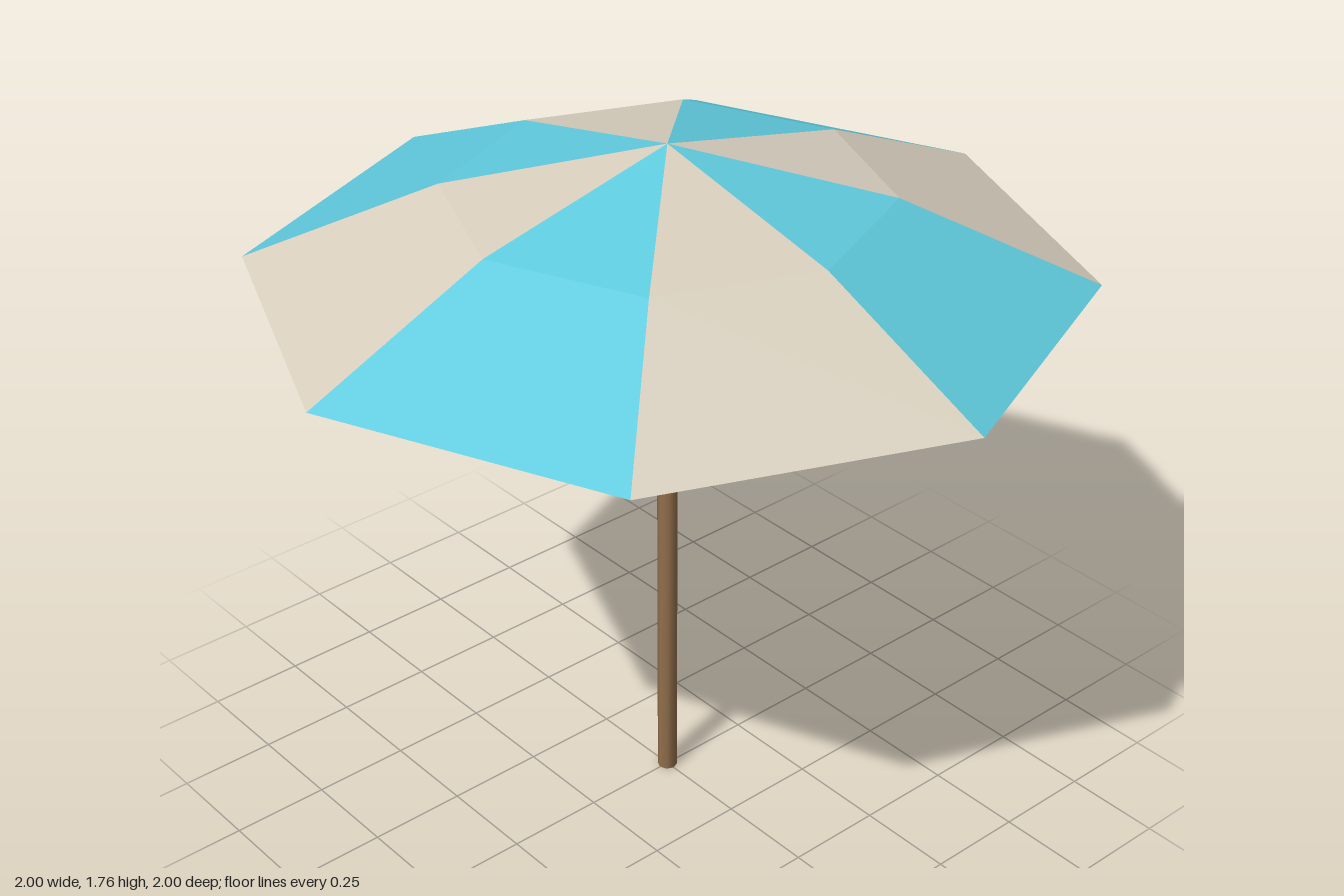
import * as THREE from 'three';
import { mergeVertices } from 'three/addons/utils/BufferGeometryUtils.js';

const SIDES = 8;
const APEX = 1.765;
const SHOULDER = { r: 0.527, y: 1.648 };
const RIM = { r: 1, y: 1.445 };
const POLE = { r: 0.025, h: 1.6 };

function material(name, color, side = THREE.FrontSide) {
  const m = new THREE.MeshStandardMaterial({ color, side });
  m.name = name;
  return m;
}

// Point on a canopy ring, with corner 0 at the front
function corner(ring, i) {
  const a = (i / SIDES) * Math.PI * 2;
  return new THREE.Vector3(Math.sin(a) * ring.r, ring.y, Math.cos(a) * ring.r);
}

// One wedge of cloth: a triangle at the apex and a steeper quad to the rim
function panelGeometry(i) {
  const apex = new THREE.Vector3(0, APEX, 0);
  const [a, b] = [corner(SHOULDER, i), corner(SHOULDER, i + 1)];
  const [c, d] = [corner(RIM, i), corner(RIM, i + 1)];
  const g = new THREE.BufferGeometry().setFromPoints([apex, a, b, a, c, d, a, d, b]);
  g.computeVertexNormals();
  return g;
}

export function createModel() {
  const group = new THREE.Group();
  group.name = 'parasol';
  const teal = material('teal cloth', 0x5fcbde, THREE.DoubleSide);
  const cream = material('cream cloth', 0xd8cfbe, THREE.DoubleSide);
  const wood = material('brown wood', 0x926f4b);

  // Canopy of alternating panels
  const canopy = new THREE.Group();
  canopy.name = 'canopy';
  for (let i = 0; i < SIDES; i++) {
    const panel = new THREE.Mesh(panelGeometry(i), i % 2 ? cream : teal);
    panel.name = 'canopyPanel' + (i + 1);
    canopy.add(panel);
  }
  group.add(canopy);

  // Pole, with normals smoothed across its end caps
  let poleGeometry = new THREE.CylinderGeometry(POLE.r, POLE.r, POLE.h, 8);
  poleGeometry.deleteAttribute('normal');
  poleGeometry.deleteAttribute('uv');
  poleGeometry = mergeVertices(poleGeometry);
  poleGeometry.computeVertexNormals();
  const pole = new THREE.Mesh(poleGeometry, wood);
  pole.name = 'pole';
  pole.position.y = POLE.h / 2;
  group.add(pole);

  return group;
}
